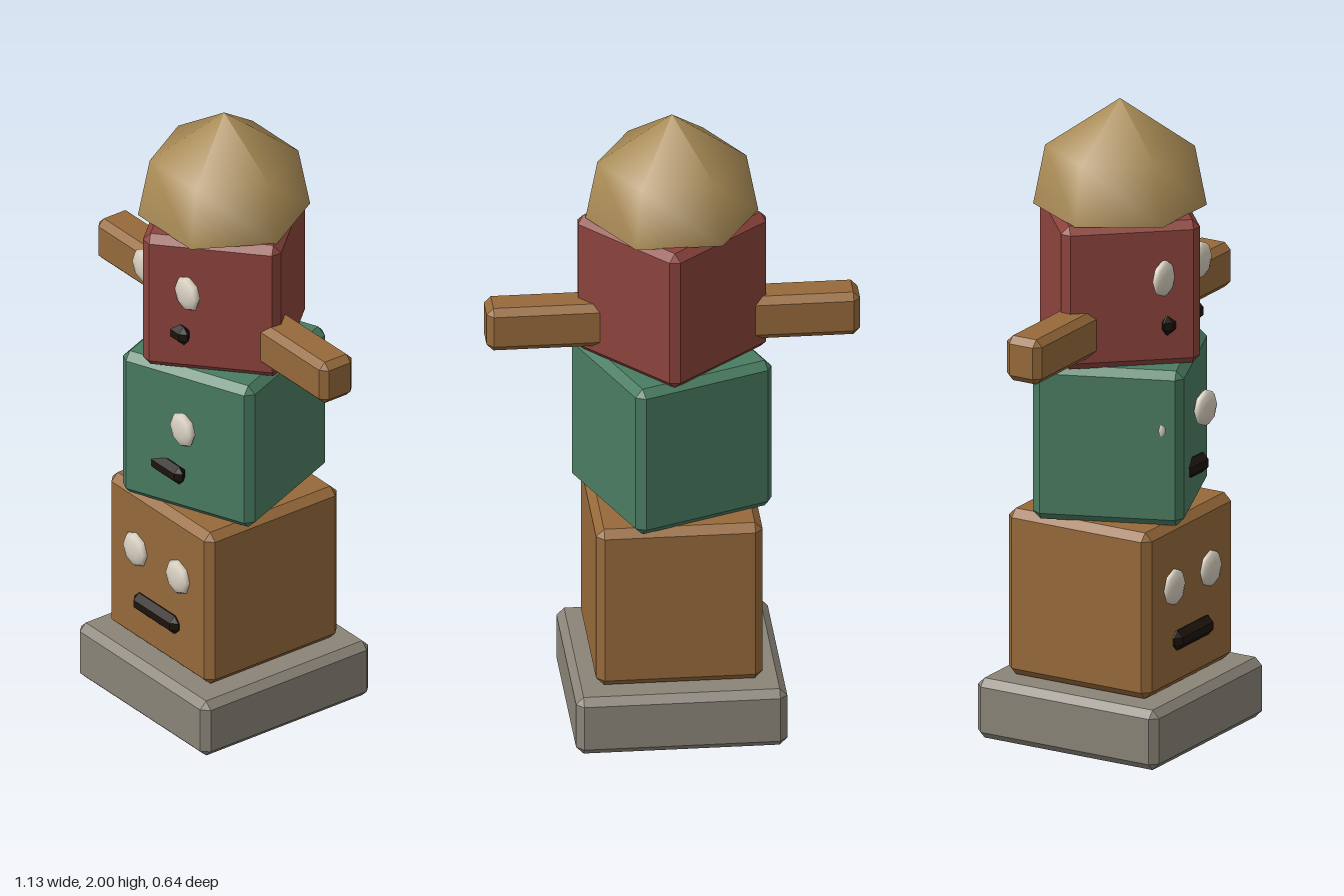
import * as THREE from 'three';
import { ConvexGeometry } from 'three/addons/geometries/ConvexGeometry.js';

const paint = (color) => new THREE.MeshStandardMaterial({ color });
const wood = paint(0x96693a), stone = paint(0x8a8478), green = paint(0x4a7c62);
const red = paint(0x8c433c), straw = paint(0xa88a55), white = paint(0xd8d0c0), dark = paint(0x1c130c);

// Box with all edges and corners cut flat; sizes are full lengths
function chamferBox(w, h, d, c) {
  const points = [];
  for (const x of [-1, 1]) for (const y of [-1, 1]) for (const z of [-1, 1]) {
    for (let axis = 0; axis < 3; axis++) {
      const inset = [c, c, c];
      inset[axis] = 0;
      points.push(new THREE.Vector3(
        x * (w / 2 - inset[0]), y * (h / 2 - inset[1]), z * (d / 2 - inset[2])));
    }
  }
  return new ConvexGeometry(points);
}

export function createModel() {
  const model = new THREE.Group();
  const add = (name, geometry, material, x, y, z) => {
    const mesh = new THREE.Mesh(geometry, material);
    mesh.name = name;
    mesh.position.set(x, y, z);
    model.add(mesh);
    return mesh;
  };

  // Plinth
  add('base', chamferBox(0.64, 0.19, 0.64, 0.023), stone, 0, 0.095, 0);

  // Stacked blocks, each twisted further; the faces all look straight ahead
  const blocks = [
    { name: 'lower', size: 0.505, bottom: 0.195, top: 0.722, turn: 0, mat: wood, eyeY: 0.52, mouthY: 0.345, faceZ: 0.255 },
    { name: 'middle', size: 0.462, bottom: 0.72, top: 1.212, turn: 0.38, mat: green, eyeY: 1.027, mouthY: 0.86, faceZ: 0.238 },
    { name: 'upper', size: 0.425, bottom: 1.21, top: 1.665, turn: 0.72, mat: red, eyeY: 1.495, mouthY: 1.34, faceZ: 0.22 },
  ];
  const eye = new THREE.SphereGeometry(0.056, 8, 6);
  eye.rotateX(Math.PI / 2);
  eye.scale(1, 1.03, 0.4);
  const mouth = chamferBox(0.215, 0.062, 0.042, 0.019);
  for (const b of blocks) {
    const block = add(b.name + 'Block', chamferBox(b.size, b.top - b.bottom, b.size, 0.024),
      b.mat, 0, (b.top + b.bottom) / 2, 0);
    block.rotation.y = b.turn;
    add(b.name + 'LeftEye', eye, white, 0.105, b.eyeY, b.faceZ);
    add(b.name + 'RightEye', eye, white, -0.105, b.eyeY, b.faceZ);
    add(b.name + 'Mouth', mouth, dark, 0, b.mouthY, b.faceZ);
  }

  // Arms, running into the upper block
  for (const side of [1, -1]) {
    add(side > 0 ? 'leftArm' : 'rightArm', chamferBox(0.42, 0.142, 0.124, 0.021),
      wood, side * 0.356, 1.322, -0.004);
  }

  // Six-sided smooth cap with a flat underside
  const profile = [[0.262, 1.663], [0.226, 1.85], [0, 2]].map(([r, y]) => new THREE.Vector2(r, y));
  const cap = add('cap', new THREE.LatheGeometry(profile, 6, Math.PI / 2), straw, 0, 0, 0);
  const underside = new THREE.Mesh(new THREE.CircleGeometry(0.262, 6), straw);
  underside.name = 'capUnderside';
  underside.rotation.x = Math.PI / 2;
  underside.position.y = 1.663;
  cap.add(underside);

  return model;
}
